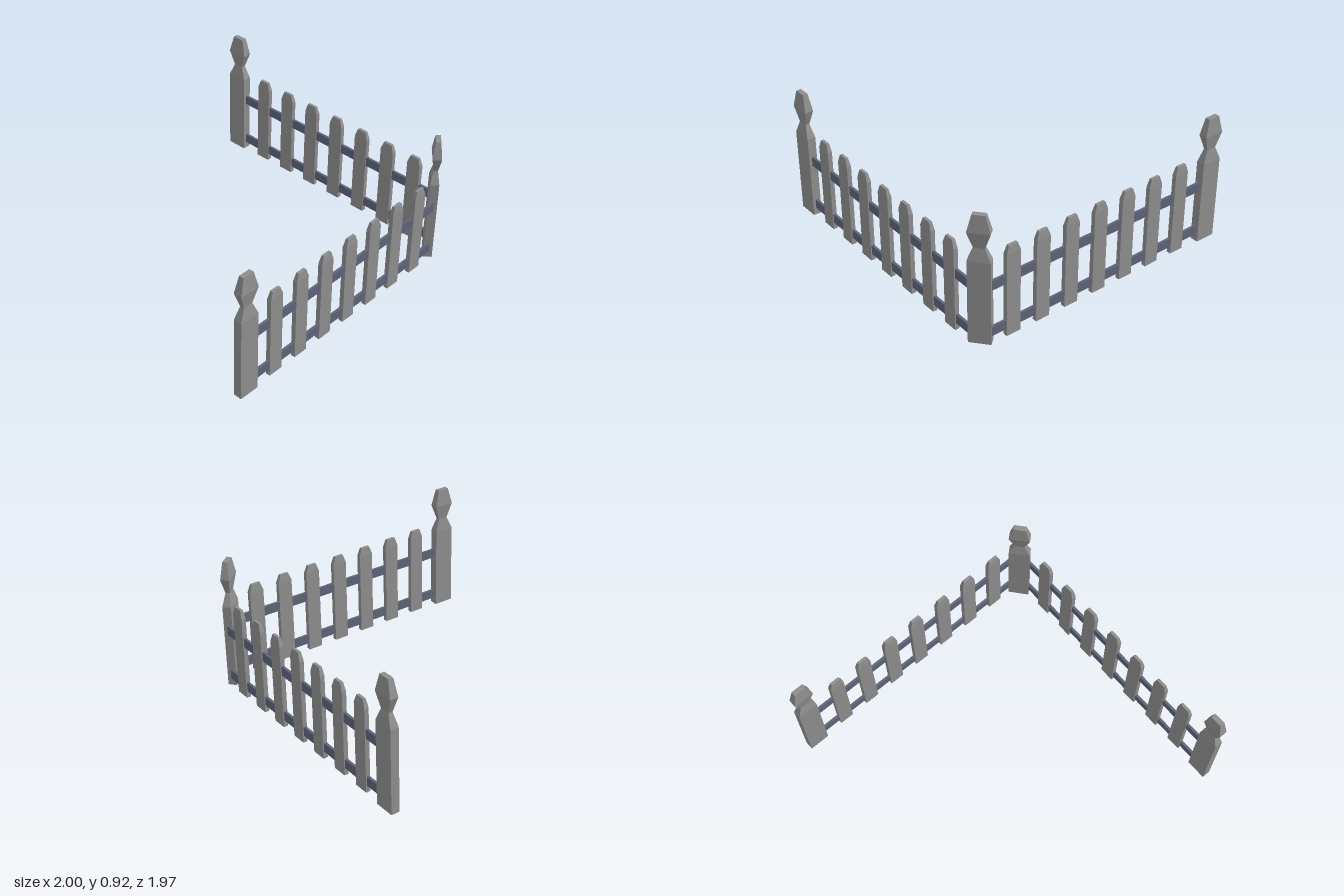
import * as THREE from 'three';

const wood = new THREE.MeshStandardMaterial({ color: 0x8e8e8e });
wood.name = 'grey wood';
const railPaint = new THREE.MeshStandardMaterial({ color: 0x5e6378 });
railPaint.name = 'slate blue rail';

// Four-sided upright: profile lists [height, scale of the full width and depth]
function uprightGeometry(width, depth, profile) {
  const r = Math.SQRT1_2;
  const points = profile.map(([y, s]) => new THREE.Vector2(s * r, y));
  points.unshift(new THREE.Vector2(0, profile[0][0]));
  points.push(new THREE.Vector2(0, profile[profile.length - 1][0]));
  const geo = new THREE.LatheGeometry(points, 4, Math.PI / 4).toNonIndexed();
  geo.scale(width, 1, depth);
  geo.computeVertexNormals();
  return geo;
}

const postGeo = uprightGeometry(0.145, 0.06, [[0, 1], [0.6, 1], [0.69, 0.49], [0.8, 1], [0.92, 0.58]]);
const picketGeo = uprightGeometry(0.105, 0.032, [[0, 1], [0.6, 1], [0.657, 0.63]]);

function addMesh(parent, name, geo, mat, x, y, z, turn = 0) {
  const mesh = new THREE.Mesh(geo, mat);
  mesh.name = name;
  mesh.position.set(x, y, z);
  mesh.rotation.y = turn;
  parent.add(mesh);
}

// Straight run along local x: seven pickets on two rails, with an end post
function fenceRun(name, firstPicket, railStart, railEnd, endPost) {
  const run = new THREE.Group();
  run.name = name;
  for (let i = 0; i < 7; i++) {
    addMesh(run, 'picket', picketGeo, wood, firstPicket + i * 0.2285, 0, 0);
  }
  const railGeo = new THREE.BoxGeometry(railEnd - railStart, 0.067, 0.018);
  for (const y of [0.083, 0.423]) {
    addMesh(run, 'rail', railGeo, railPaint, (railStart + railEnd) / 2, y, 0);
  }
  addMesh(run, 'endPost', postGeo, wood, endPost, 0, 0);
  return run;
}

export function createModel() {
  const fence = new THREE.Group();
  fence.name = 'cornerFence';

  const front = fenceRun('frontRun', -0.68, -0.87, 0.863, -0.9275);
  front.position.z = 0.957;
  fence.add(front);

  // Side run: local x becomes -z
  const side = fenceRun('sideRun', -0.711, -0.88, 0.86, 0.9145);
  side.position.x = 0.968;
  side.rotation.y = Math.PI / 2;
  fence.add(side);

  // Angled post joining both runs
  addMesh(fence, 'cornerPost', postGeo, wood, 0.917, 0, 0.912, THREE.MathUtils.degToRad(40));
  return fence;
}
